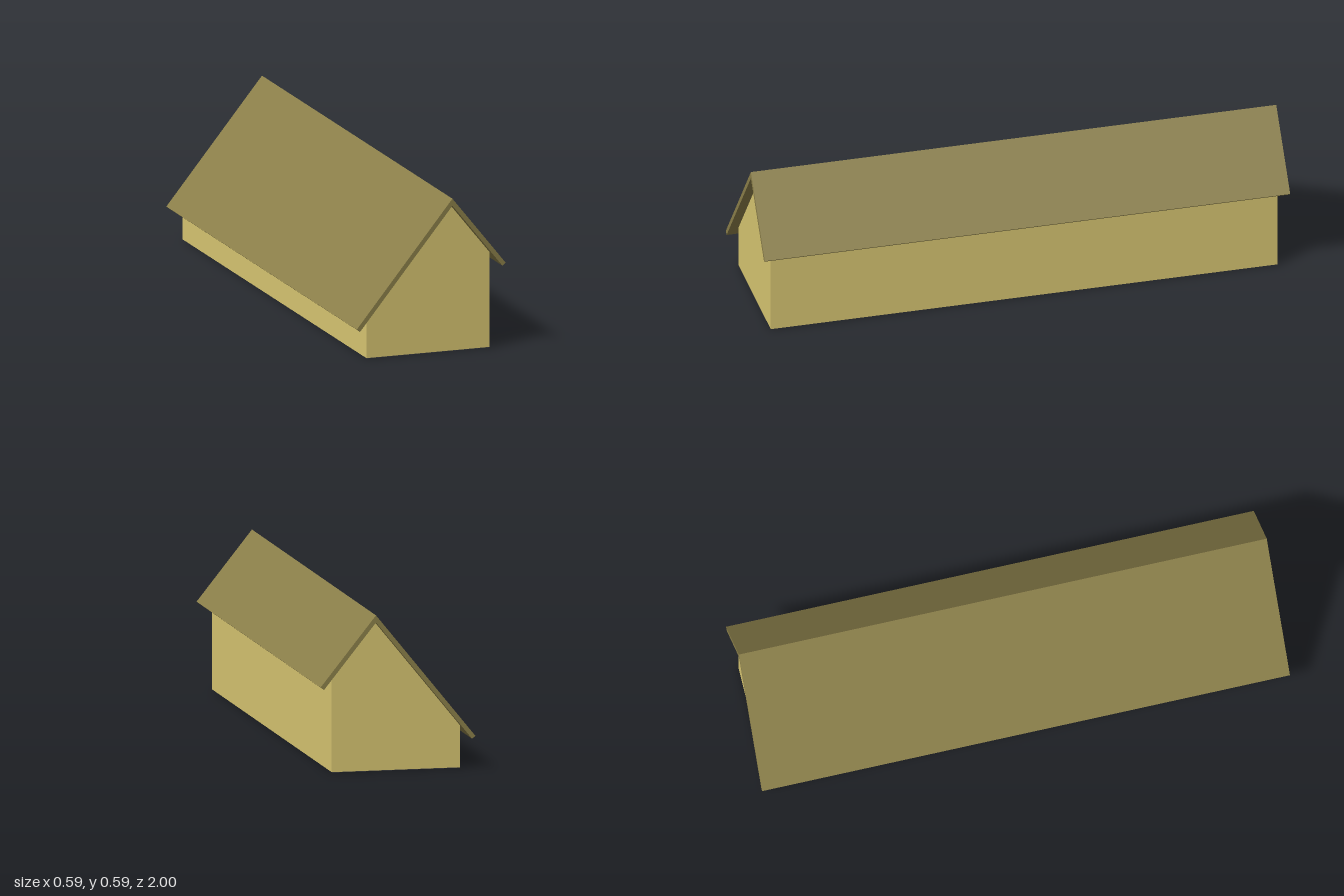
import * as THREE from 'three';

// Extrudes an x/y outline along z, centred on z = 0
function prism(name, points, length, color) {
  const shape = new THREE.Shape(points.map(([x, y]) => new THREE.Vector2(x, y)));
  const geometry = new THREE.ExtrudeGeometry(shape, { depth: length, bevelEnabled: false });
  geometry.translate(0, 0, -length / 2);
  const mesh = new THREE.Mesh(geometry, new THREE.MeshStandardMaterial({ color }));
  mesh.name = name;
  return mesh;
}

export function createModel() {
  const group = new THREE.Group();
  group.name = 'longHouse';

  const wallColor = 0xd9c772;
  const roofColor = 0x8c804a;
  const ridgeTop = [0.083, 0.588];
  const ridgeUnder = [0.083, 0.561];

  // Walls with an off-centre gable
  group.add(prism('walls', [
    [-0.243, 0.002], [0.243, 0.002], [0.243, 0.362], ridgeUnder, [-0.243, 0.16],
  ], 1.93, wallColor));

  // Two roof slabs meeting at the ridge, overhanging on all sides
  group.add(prism('longRoofSlope', [
    ridgeTop, [-0.294, 0.123], [-0.281, 0.113], ridgeUnder,
  ], 2, roofColor));
  group.add(prism('shortRoofSlope', [
    ridgeTop, ridgeUnder, [0.28, 0.316], [0.293, 0.326],
  ], 2, roofColor));

  // Dark floor plate under the walls
  const floor = new THREE.Mesh(
    new THREE.BoxGeometry(0.48, 0.004, 1.924),
    new THREE.MeshStandardMaterial({ color: 0x505050 }),
  );
  floor.name = 'floor';
  floor.position.y = 0.002;
  group.add(floor);

  return group;
}
